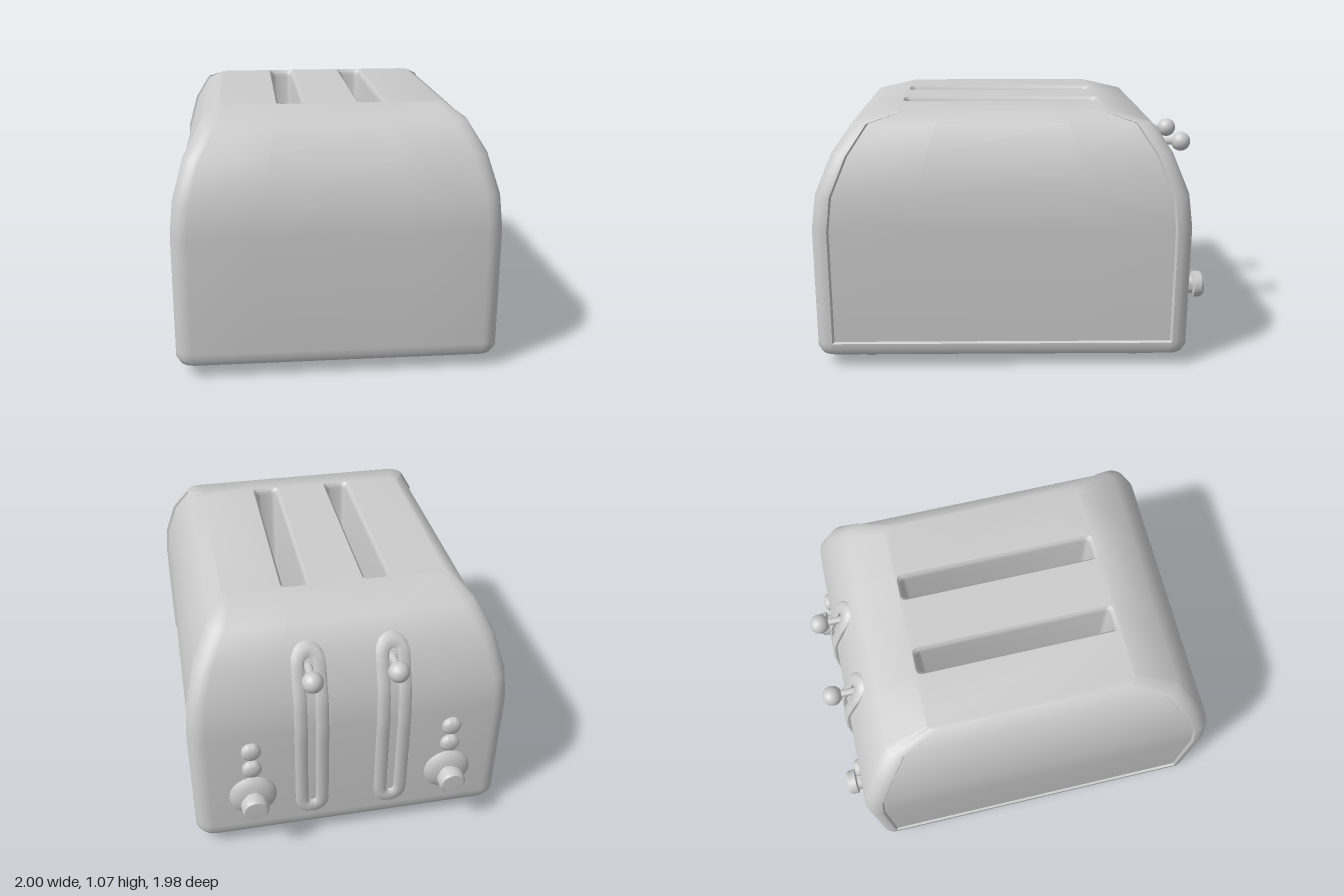
import * as THREE from 'three';
import { mergeGeometries, toCreasedNormals } from 'three/addons/utils/BufferGeometryUtils.js';

const grey = new THREE.MeshStandardMaterial({ color: 0xcccccc });
const TOP = 1.065;

// Body levels: height, half length, half width, half length of the side panel, panel recess
const LEVELS = [
  [0.046, 0.745, 0.63, 0.68, 0],
  [0.058, 0.77, 0.655, 0.695, 0],
  [0.085, 0.783, 0.668, 0.705, 0],
  [0.11, 0.783, 0.668, 0.705, 0],
  [0.116, 0.783, 0.668, 0.705, 0.01],
  [0.6, 0.783, 0.668, 0.705, 0.01],
  [0.74, 0.765, 0.655, 0.69, 0.01],
  [0.9, 0.7, 0.61, 0.625, 0.01],
  [1.02, 0.615, 0.54, 0.545, 0.008],
  [TOP, 0.44, 0.47, 0.395, 0],
];

// Half length of the body at height y
function halfLength(y) {
  for (let i = 1; i < LEVELS.length; i++) {
    const [y0, u0] = LEVELS[i - 1], [y1, u1] = LEVELS[i];
    if (y <= y1) return u0 + (u1 - u0) * Math.max(0, (y - y0) / (y1 - y0));
  }
  return LEVELS.at(-1)[1];
}

function mesh(name, geometry, parent, crease = 0.6) {
  const m = new THREE.Mesh(crease ? toCreasedNormals(geometry, crease) : geometry, grey);
  m.name = name;
  parent.add(m);
  return m;
}

// Skin between closed rings of points; rings going down face inward
function loft(rings) {
  const n = rings[0].length, index = [];
  for (let i = 0; i < rings.length - 1; i++)
    for (let j = 0; j < n; j++) {
      const a = i * n + j, b = i * n + (j + 1) % n;
      index.push(a, a + n, b, b, a + n, b + n);
    }
  const g = new THREE.BufferGeometry();
  g.setAttribute('position', new THREE.Float32BufferAttribute(rings.flat().flatMap((p) => p.toArray()), 3));
  g.setIndex(index);
  g.computeVertexNormals();
  return g;
}

// Body outline at one level: rounded end caps with recessed side panels
function bodyRing([y, u, w, s, inset]) {
  const r = Math.min(0.07, u - s - 0.008), q = [[u, (w - r) / 2]];
  for (let k = 0; k <= 6; k++) {
    const a = (k / 6) * Math.PI / 2;
    q.push([u - r + r * Math.cos(a), w - r + r * Math.sin(a)]);
  }
  q.push([s, w - inset], [s / 2, w - inset]);
  const half = [...q, ...q.map(([x, z]) => [-x, z]).reverse()];
  return [...half, ...half.map(([x, z]) => [-x, -z])].map(([x, z]) => new THREE.Vector3(x, y, z));
}

// Rounded rectangle points, in the same turning direction as the body rings
function slotPoints(cz, hl, hw, r) {
  const pts = [];
  for (let c = 0; c < 4; c++)
    for (let k = 0; k <= 3; k++) {
      const a = (c + k / 3) * Math.PI / 2;
      const sx = c === 0 || c === 3 ? 1 : -1, sz = c < 2 ? 1 : -1;
      pts.push(new THREE.Vector2(sx * (hl - r) + r * Math.cos(a), cz + sz * (hw - r) + r * Math.sin(a)));
    }
  return pts;
}

// Upright stadium that follows the control face, raised by lift
function stadiumRing(cz, hw, y0, y1, lift) {
  const pts = [], n = 16;
  for (let k = 0; k <= n; k++) pts.push([hw, y0 + hw + (y1 - y0 - 2 * hw) * k / n]);
  for (let k = 1; k < 8; k++) {
    const a = (k / 8) * Math.PI;
    pts.push([hw * Math.cos(a), y1 - hw + hw * Math.sin(a)]);
  }
  return [...pts, ...pts.map(([z, y]) => [-z, y0 + y1 - y])]
    .map(([z, y]) => new THREE.Vector3(-halfLength(y) - lift, y, cz + z));
}

function lathe(points) {
  return new THREE.LatheGeometry(points.map(([x, y]) => new THREE.Vector2(x, y)), 28);
}

export function createModel() {
  const model = new THREE.Group();
  model.name = 'toaster';
  const toaster = new THREE.Group();
  toaster.name = 'toasterBody';
  toaster.rotation.y = -41 * Math.PI / 180;
  model.add(toaster);

  // Domed housing with two bread slots in its top
  const rings = LEVELS.map(bodyRing);
  const outline = (ring) => new THREE.Shape(ring.map((p) => new THREE.Vector2(p.x, p.z)));
  const topShape = outline(rings.at(-1));
  for (const z of [-0.17, 0.17]) {
    const level = (hl, hw, y) => slotPoints(z, hl, hw, 0.022).map((p) => new THREE.Vector3(p.x, y, p.y));
    topShape.holes.push(new THREE.Path(slotPoints(z, 0.432, 0.06, 0.022)));
    mesh('breadSlot', loft([
      level(0.432, 0.06, TOP), level(0.422, 0.05, TOP - 0.012),
      level(0.418, 0.046, TOP - 0.03), level(0.418, 0.046, 0.4),
    ]), toaster);
    mesh('slotFloor', new THREE.PlaneGeometry(0.836, 0.092).rotateX(-Math.PI / 2).translate(0, 0.4, z), toaster);
  }
  const top = new THREE.ShapeGeometry(topShape).rotateX(-Math.PI / 2).translate(0, TOP, 0);
  top.deleteAttribute('uv');
  mesh('housing', mergeGeometries([loft(rings), top]), toaster, 0.75);
  mesh('underside', new THREE.ShapeGeometry(outline(rings[0])).rotateX(Math.PI / 2).translate(0, LEVELS[0][0], 0), toaster);

  // Feet
  for (const x of [-0.57, 0.57])
    for (const z of [-0.495, 0.495])
      mesh('foot', lathe([[0, 0], [0.045, 0], [0.054, 0.008], [0.066, 0.032], [0.066, 0.05]]), toaster)
        .position.set(x, 0, z);

  // Controls on one end, each turned to point out of the face
  const controls = new THREE.Group();
  controls.name = 'controls';
  toaster.add(controls);
  const place = (m, y, z) => {
    m.rotation.z = Math.PI / 2;
    m.position.set(-halfLength(y), y, z);
  };

  for (const side of [-1, 1]) {
    const z = side * 0.17;

    // Lever track, bent to follow the face
    mesh('leverTrack', loft([
      stadiumRing(z, 0.018, 0.2, 0.91, -0.005),
      stadiumRing(z, 0.018, 0.2, 0.91, 0.014),
      stadiumRing(z, 0.026, 0.192, 0.918, 0.021),
      stadiumRing(z, 0.058, 0.152, 0.948, 0.021),
      stadiumRing(z, 0.07, 0.14, 0.96, 0.012),
      stadiumRing(z, 0.07, 0.14, 0.96, -0.005),
    ]), controls, 0.8);

    // Lever with ball end
    const stem = mesh('leverStem', new THREE.CylinderGeometry(0.016, 0.016, 0.13, 14), controls);
    place(stem, 0.87, z);
    stem.position.x -= 0.04;
    mesh('leverBall', new THREE.SphereGeometry(0.043, 24, 16), controls, 0).position.set(-0.81, 0.87, z);

    // Browning dial: domed base and a knob on a neck
    place(mesh('dial', lathe([
      [0.1, -0.01], [0.1, 0.008], [0.088, 0.02], [0.066, 0.029], [0.042, 0.034], [0.042, 0.052],
      [0.058, 0.058], [0.056, 0.09], [0.047, 0.101], [0, 0.103],
    ]), controls), 0.28, side * 0.42);

    // Push buttons
    for (const y of [0.435, 0.53])
      place(mesh('button', lathe([
        [0.04, -0.01], [0.04, 0.014], [0.034, 0.023], [0.025, 0.028], [0, 0.03],
      ]), controls), y, side * 0.42);
  }
  return model;
}
